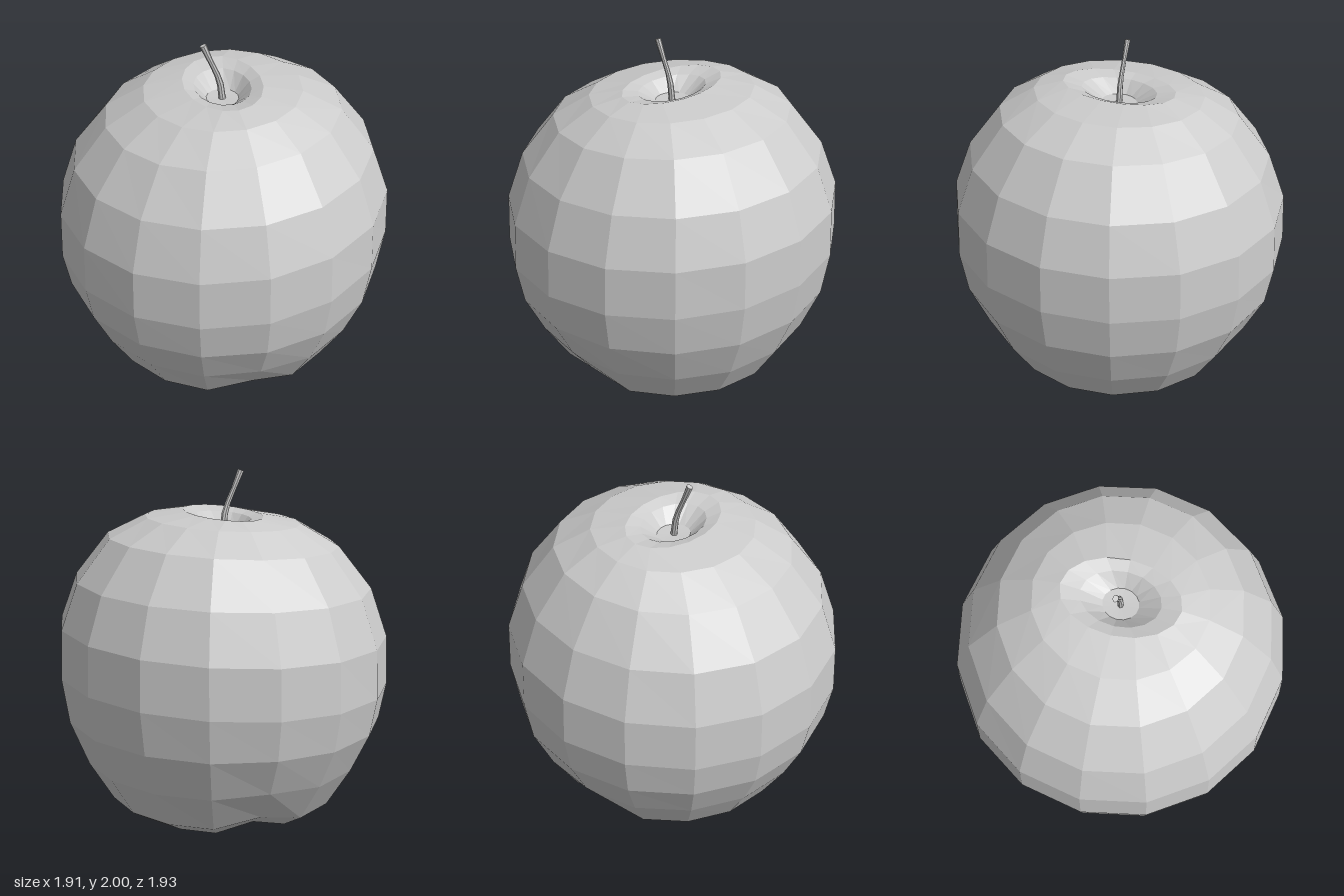
import * as THREE from 'three';

const SIDES = 16;

// Body rings from the stem pit down to the base pit:
// [radius x, radius z, height, sideways tilt, lift of the groove along z]
const RINGS = [
  [0, 0, 1.66, 0, 0],
  [0.09, 0.1, 1.665, 0.02, 0],
  [0.155, 0.22, 1.735, 0.05, 0],
  [0.215, 0.33, 1.757, 0.06, 0],
  [0.44, 0.48, 1.722, 0.05, 0],
  [0.66, 0.67, 1.605, 0.053, 0],
  [0.85, 0.85, 1.365, 0.041, 0],
  [0.945, 0.95, 1.095, 0.048, 0],
  [0.955, 0.965, 0.815, 0.047, 0],
  [0.915, 0.925, 0.58, 0.022, 0.005],
  [0.81, 0.815, 0.34, 0, 0.02],
  [0.67, 0.67, 0.11, 0, 0.06],
  [0.535, 0.54, 0.03, 0, 0.06],
  [0.4, 0.41, 0.002, 0, 0.07],
  [0.27, 0.27, 0, 0, 0.07],
  [0.13, 0.13, 0.04, 0, 0.05],
  [0, 0, 0.1, 0, 0],
];

// Joins cross-sections (arrays of Vector3, top to bottom) into a surface
function loft(sections) {
  const positions = [];
  const n = sections[0].length;
  const tri = (a, b, c) => {
    if (a.distanceTo(b) < 1e-6 || b.distanceTo(c) < 1e-6 || c.distanceTo(a) < 1e-6) return;
    for (const p of [a, b, c]) positions.push(p.x, p.y, p.z);
  };
  for (let i = 0; i < sections.length - 1; i++) {
    for (let j = 0; j < n; j++) {
      const k = (j + 1) % n;
      const [a, b] = [sections[i][j], sections[i][k]];
      const [c, d] = [sections[i + 1][j], sections[i + 1][k]];
      tri(a, c, d);
      tri(a, d, b);
    }
  }
  const geometry = new THREE.BufferGeometry();
  geometry.setAttribute('position', new THREE.Float32BufferAttribute(positions, 3));
  geometry.computeVertexNormals();
  return geometry;
}

function bodyRing([rx, rz, y, tilt, lift]) {
  return Array.from({ length: SIDES }, (_, j) => {
    const angle = (j / SIDES) * Math.PI * 2;
    const x = rx * Math.sin(angle);
    const groove = j % (SIDES / 2) === 0 ? lift : 0; // front and back corners only
    return new THREE.Vector3(x, y + tilt * x + groove, rz * Math.cos(angle));
  });
}

// Stem rings: [x, y, radius]
const STEM = [
  [-0.11, 1.992, 0],
  [-0.108, 1.993, 0.018],
  [-0.065, 1.89, 0.014],
  [-0.03, 1.81, 0.015],
  [-0.012, 1.75, 0.018],
  [0, 1.65, 0.02],
];

function stemRing([x, y, r]) {
  return Array.from({ length: 8 }, (_, j) => {
    const angle = (j / 8) * Math.PI * 2;
    const dx = r * Math.sin(angle);
    return new THREE.Vector3(x + dx, y + dx * 0.4, r * 0.85 * Math.cos(angle));
  });
}

export function createModel() {
  const model = new THREE.Group();
  model.name = 'apple';
  const material = new THREE.MeshStandardMaterial({ color: 0xcccccc, flatShading: true });

  // Faceted fruit with both pits
  const body = new THREE.Mesh(loft(RINGS.map(bodyRing)), material);
  body.name = 'fruit';
  model.add(body);

  // Thin bent stem
  const stem = new THREE.Mesh(loft(STEM.map(stemRing)), material);
  stem.name = 'stem';
  model.add(stem);

  return model;
}
